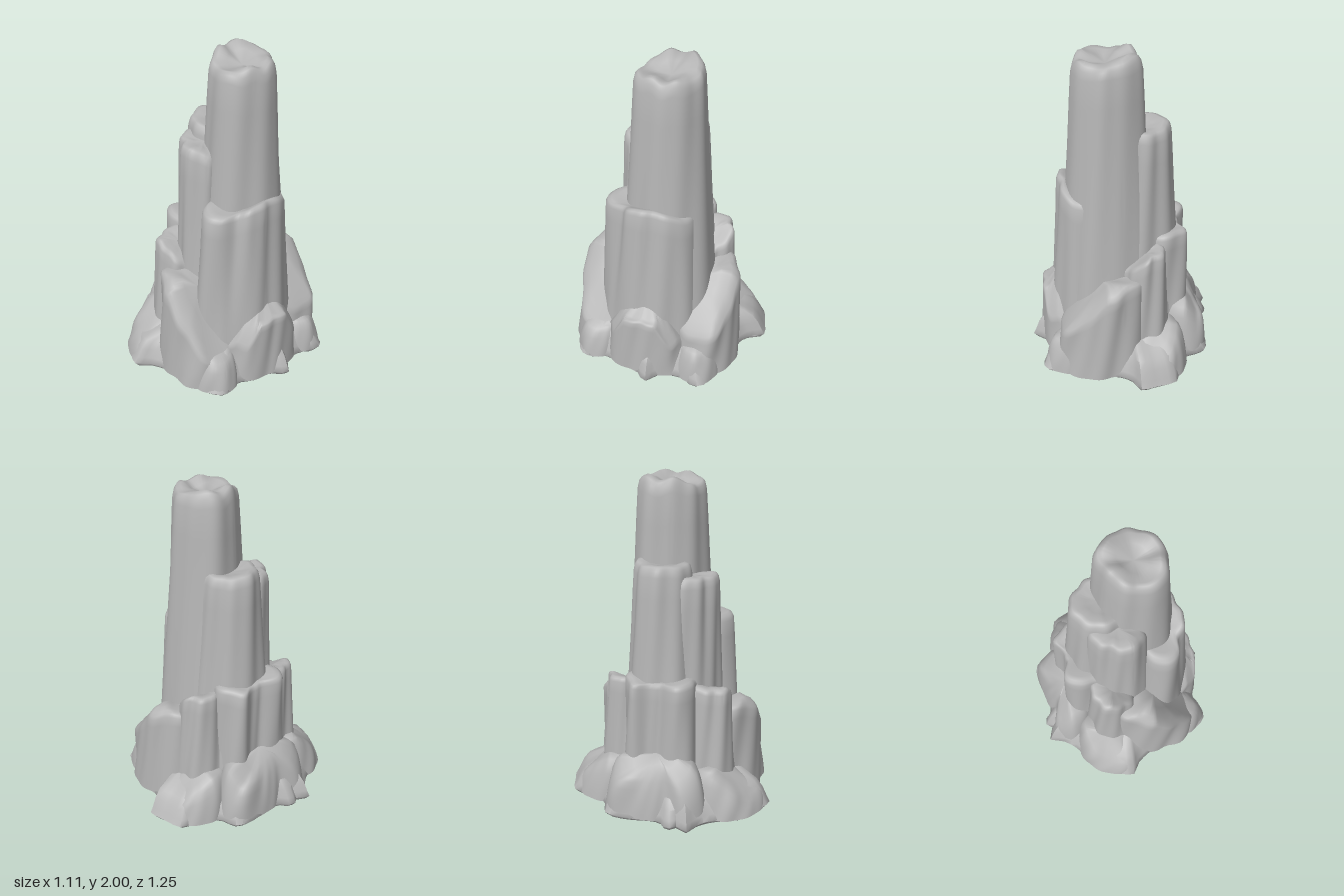
import * as THREE from 'three';
import { toCreasedNormals } from 'three/addons/utils/BufferGeometryUtils.js';

// Rows run from the underside, up the wall, over a rounded rim to the top centre:
// [scale about the centre, flare fraction, height fraction]
const COLUMN = [[0, 0, 0], [1, 1, 0], [1, 0.88, 0.1], [1, 0.72, 0.25], [1, 0.55, 0.4], [1, 0.38, 0.56],
  [1, 0.22, 0.72], [1, 0.1, 0.87], [1, 0.02, 0.96], [0.96, 0, 0.985], [0.88, 0, 0.997], [0.75, 0, 1], [0.45, 0, 0.99], [0, 0, 0.985]];
const FOOT = [[0, 0, 0], [1, 1, 0], [1, 0.8, 0.2], [0.99, 0.5, 0.45], [0.96, 0.2, 0.68], [0.89, 0, 0.86],
  [0.76, 0, 0.96], [0.5, 0, 1], [0, 0, 1]];
const MOUND = [[0, 0, 0], [0.96, 0, 0], [1, 0, 0.08], [0.97, 0, 0.19], [0.93, 0, 0.36], [0.87, 0, 0.52],
  [0.78, 0, 0.66], [0.6, 0, 0.85], [0, 0, 1]];
const N = 88;

// Lofts a rock from a closed [x, z] outline; top is a height or a rule (x, z) => height.
function rockGeometry({ outline, top, bottom = 0.03, flare = 0.06, groove = 0.007, seed = 0, rows = COLUMN, wobble = 0.012 }) {
  const curve = new THREE.CatmullRomCurve3(outline.map(([x, z]) => new THREE.Vector3(x, 0, z)), true, 'centripetal');
  const ring = curve.getSpacedPoints(N).slice(0, N);
  const area = ring.reduce((s, p, i) => s + p.x * ring[(i + 1) % N].z - p.z * ring[(i + 1) % N].x, 0);
  if (area < 0) ring.reverse();
  const c = ring.reduce((s, p) => s.add(p), new THREE.Vector3()).divideScalar(N);
  const heightAt = typeof top === 'function' ? top : () => top;
  const pos = [], idx = [];
  rows.forEach(([scale, spread, h], r) => {
    ring.forEach((p) => {
      const dx = p.x - c.x, dz = p.z - c.z, len = Math.hypot(dx, dz);
      const a = Math.atan2(dz, dx);
      // vertical flutes that drift with height
      const flute = groove * (Math.sin(5 * a + seed + 2.5 * h) + 0.7 * Math.sin(9 * a - seed * 2 + 4 * h));
      const k = scale * (1 + (flare * spread + flute) / len);
      const x = c.x + dx * k, z = c.z + dz * k;
      const H = heightAt(x, z) + wobble * Math.sin(13 * x + seed) * Math.cos(15 * z + seed * 1.7);
      pos.push(x, bottom + (H - bottom) * h, z);
    });
    if (r === 0) return;
    for (let j = 0; j < N; j++) {
      const a = (r - 1) * N + j, b = (r - 1) * N + (j + 1) % N;
      if (r > 1) idx.push(a, a + N, b);
      if (r < rows.length - 1) idx.push(b, a + N, b + N);
    }
  });
  const g = new THREE.BufferGeometry();
  g.setAttribute('position', new THREE.Float32BufferAttribute(pos, 3));
  g.setIndex(idx);
  return toCreasedNormals(g, 1.1);
}

export function createModel() {
  const model = new THREE.Group();
  model.name = 'rockSpire';
  const stone = new THREE.MeshStandardMaterial({ color: 0xb6b6b6 });
  stone.name = 'grey stone';
  const add = (name, spec) => {
    const mesh = new THREE.Mesh(rockGeometry(spec), stone);
    mesh.name = name;
    model.add(mesh);
  };
  const { clamp } = THREE.MathUtils;

  // Ragged foot
  add('base', {
    outline: [[-0.1, -0.63], [-0.06, -0.56], [0.05, -0.5], [0.24, -0.5], [0.38, -0.43], [0.45, -0.42], [0.49, -0.36],
      [0.45, -0.27], [0.48, -0.13], [0.56, -0.06], [0.49, 0.02], [0.48, 0.13], [0.44, 0.24], [0.48, 0.36], [0.45, 0.41],
      [0.34, 0.46], [0.08, 0.5], [-0.04, 0.56], [-0.09, 0.625], [-0.2, 0.59], [-0.31, 0.53], [-0.4, 0.36], [-0.48, 0.28],
      [-0.56, 0.24], [-0.52, 0.17], [-0.56, 0.12], [-0.5, 0.05], [-0.53, -0.15], [-0.51, -0.28], [-0.4, -0.33],
      [-0.33, -0.48], [-0.32, -0.55], [-0.2, -0.6]],
    top: 0.33, bottom: 0.01, groove: 0.003, rows: MOUND, wobble: 0.03,
  });

  // Tall columns, stepping down around the spire
  add('mainSpire', {
    outline: [[-0.11, -0.1], [-0.06, -0.2], [0.09, -0.24], [0.2, -0.21], [0.27, -0.1], [0.265, 0.02], [0.19, 0.12],
      [0.09, 0.135], [-0.01, 0.09], [-0.07, 0.03]],
    top: (x, z) => 1.962 + 0.024 * clamp((0.06 - x - z * 0.6) / 0.12, -0.4, 1)
      + 0.011 * Math.cos(45 * z) + 0.009 * Math.cos(25 * (x - 0.22)),
    flare: 0.13, groove: 0.005, seed: 1, wobble: 0,
  });
  add('leftTallColumn', {
    outline: [[-0.28, -0.04], [-0.25, -0.14], [-0.16, -0.19], [0.02, -0.2], [0.05, 0], [-0.05, 0.12], [-0.19, 0.1], [-0.26, 0.05]],
    top: (x) => 1.53 - Math.max(0, x + 0.12) * 0.2, flare: 0.11, seed: 2,
  });
  add('frontTallColumn', {
    outline: [[-0.21, 0.05], [-0.18, 0.19], [-0.1, 0.23], [-0.02, 0.27], [0.05, 0.24], [0.1, 0.14], [0.06, 0], [-0.1, -0.02]],
    top: (x) => 1.455 - Math.max(0, x) * 0.5, flare: 0.06, seed: 3,
  });
  add('rightColumn', {
    outline: [[0.09, 0.2], [0.14, 0.27], [0.21, 0.29], [0.29, 0.24], [0.32, 0.16], [0.365, 0.09], [0.37, -0.05], [0.34, -0.14],
      [0.29, -0.22], [0.15, -0.25], [0.05, -0.1]],
    top: (x) => 1.13 + Math.max(0, x - 0.28) * 0.5, flare: 0.075, seed: 4,
  });
  add('leftLowColumn', {
    outline: [[-0.385, -0.13], [-0.33, -0.2], [-0.22, -0.22], [-0.1, -0.1], [-0.12, 0.15], [-0.25, 0.2], [-0.35, 0.18],
      [-0.38, 0.12], [-0.35, 0], [-0.35, -0.06]],
    top: 0.86, flare: 0.025, seed: 6,
  });

  // Paired shoulders, buttresses and feet at front (s = 1) and back (s = -1)
  for (const s of [1, -1]) {
    const side = s > 0 ? 'front' : 'back';
    const flip = (pts) => pts.map(([x, z]) => [x, z * s]);
    add(side + 'Shoulder', {
      outline: flip([[-0.25, 0.27], [-0.22, 0.34], [-0.14, 0.38], [-0.06, 0.36], [0.02, 0.25], [-0.1, 0.1], [-0.22, 0.15]]),
      top: (x) => 0.81 - Math.max(0, x + 0.16) * 0.8, flare: 0.05, seed: 7 + s,
    });
    add(side + 'Buttress', {
      outline: flip([[-0.11, 0.36], [-0.05, 0.44], [0.05, 0.485], [0.26, 0.475], [0.36, 0.4], [0.37, 0.25], [0.25, 0.12], [-0.05, 0.12]]),
      top: (x, z) => clamp(0.655 - Math.max(0, x - 0.09) * (s > 0 ? 1.55 : 1.2)
        - Math.max(0, Math.abs(z) - 0.42) * 0.8, 0.22, 0.66),
      flare: 0.025, seed: 9 + s,
    });
    add(side + 'LeftFoot', {
      outline: flip([[-0.32, 0.48], [-0.2, 0.56], [-0.1, 0.57], [-0.06, 0.46], [-0.06, 0.25], [-0.3, 0.18], [-0.36, 0.3]]),
      top: (x, z) => 0.16 + clamp((0.53 - Math.abs(z)) * 0.75, 0, 0.15),
      flare: 0.03, groove: 0.004, seed: 11 + s, rows: FOOT,
    });
    add(side + 'RightFoot', {
      outline: flip([[0.3, 0.43], [0.42, 0.39], [0.445, 0.34], [0.41, 0.25], [0.3, 0.15], [0.15, 0.3]]),
      top: (x) => 0.22 + Math.max(0, 0.4 - x) * 0.3,
      flare: 0.03, groove: 0.003, seed: 13 + s, rows: FOOT,
    });
  }
  add('rightButtress', {
    outline: [[0.475, -0.1], [0.48, 0.08], [0.44, 0.19], [0.3, 0.24], [0.2, 0], [0.3, -0.24], [0.44, -0.2]],
    top: (x, z) => 0.42 + clamp((0.45 - x) * 1.4, 0, 0.08) - Math.max(0, Math.abs(z) - 0.1) * 1.7,
    flare: 0.012, groove: 0.004, seed: 15,
  });
  add('leftFoot', {
    outline: [[-0.5, -0.22], [-0.485, -0.05], [-0.465, 0.08], [-0.49, 0.19], [-0.4, 0.28], [-0.25, 0.2], [-0.25, -0.2], [-0.4, -0.28]],
    top: (x) => 0.3 + clamp((0.46 + x) * 1.4, 0, 0.1), flare: 0.03, groove: 0.004, seed: 16, rows: FOOT,
  });
  return model;
}
